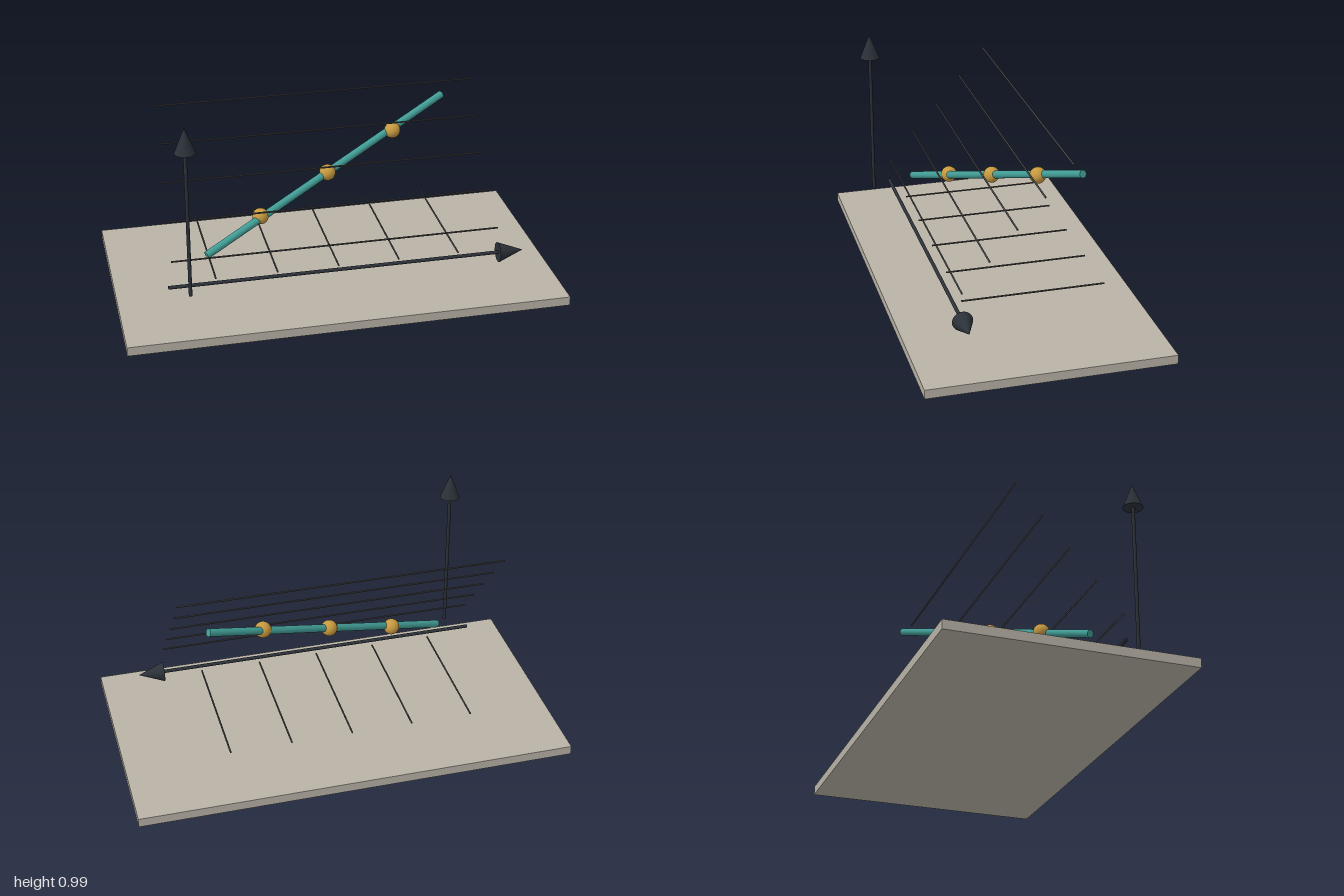
import * as THREE from 'three';

const material = (name, color) => {
  const m = new THREE.MeshStandardMaterial({ color });
  m.name = name;
  return m;
};

export function createModel() {
  const model = new THREE.Group();
  const stone = material('warm grey', 0xb8b2a6);
  const dark = material('charcoal', 0x2b3138);
  const line = material('line grey', 0x4a4a4a);
  const teal = material('teal', 0x419c95);
  const gold = material('gold', 0xc79a40);

  const add = (name, geometry, mat, position) => {
    const mesh = new THREE.Mesh(geometry, mat);
    mesh.name = name;
    mesh.position.copy(position);
    model.add(mesh);
    return mesh;
  };

  // Round bar or cone running from a to b
  const up = new THREE.Vector3(0, 1, 0);
  const bar = (name, a, b, r, mat, sides = 24, endR = r) => {
    const from = new THREE.Vector3(...a);
    const to = new THREE.Vector3(...b);
    const dir = to.clone().sub(from);
    const geometry = new THREE.CylinderGeometry(endR, r, dir.length(), sides);
    const mesh = add(name, geometry, mat, from.add(to).multiplyScalar(0.5));
    mesh.quaternion.setFromUnitVectors(up, dir.normalize());
  };

  // Base slab
  add('base', new THREE.BoxGeometry(2, 0.042, 1.1), stone, new THREE.Vector3(0, 0.021, 0));

  // Axes with arrowheads
  bar('verticalAxis', [-0.7, 0.185, 0.415], [-0.7, 0.87, 0.415], 0.008, dark);
  bar('verticalArrowhead', [-0.7, 0.87, 0.415], [-0.7, 0.985, 0.415], 0.046, dark, 32, 0);
  bar('horizontalAxis', [-0.785, 0.182, 0.32], [0.725, 0.182, 0.32], 0.008, dark);
  bar('horizontalArrowhead', [0.725, 0.182, 0.32], [0.842, 0.182, 0.32], 0.046, dark, 32, 0);

  // Guide lines: a rising set across, and a level set running back
  for (let i = 0; i < 5; i++) {
    const y = 0.309 + i * 0.1336, z = 0.32 - i * 0.12;
    bar('risingLine', [-0.768, y, z], [0.718, y, z], 0.004, line, 8);
    const x = -0.568 + i * 0.279;
    bar('levelLine', [x, 0.181, 0.281], [x, 0.181, -0.367], 0.004, line, 8);
  }

  // Sloping rod and its three beads
  bar('rod', [-0.6, 0.279, 0.239], [0.6, 0.743, -0.239], 0.0175, teal);
  for (const i of [-1, 0, 1]) {
    add('bead', new THREE.SphereGeometry(0.037, 32, 20), gold,
      new THREE.Vector3(i * 0.334, 0.511 + i * 0.126, -i * 0.12));
  }

  return model;
}
